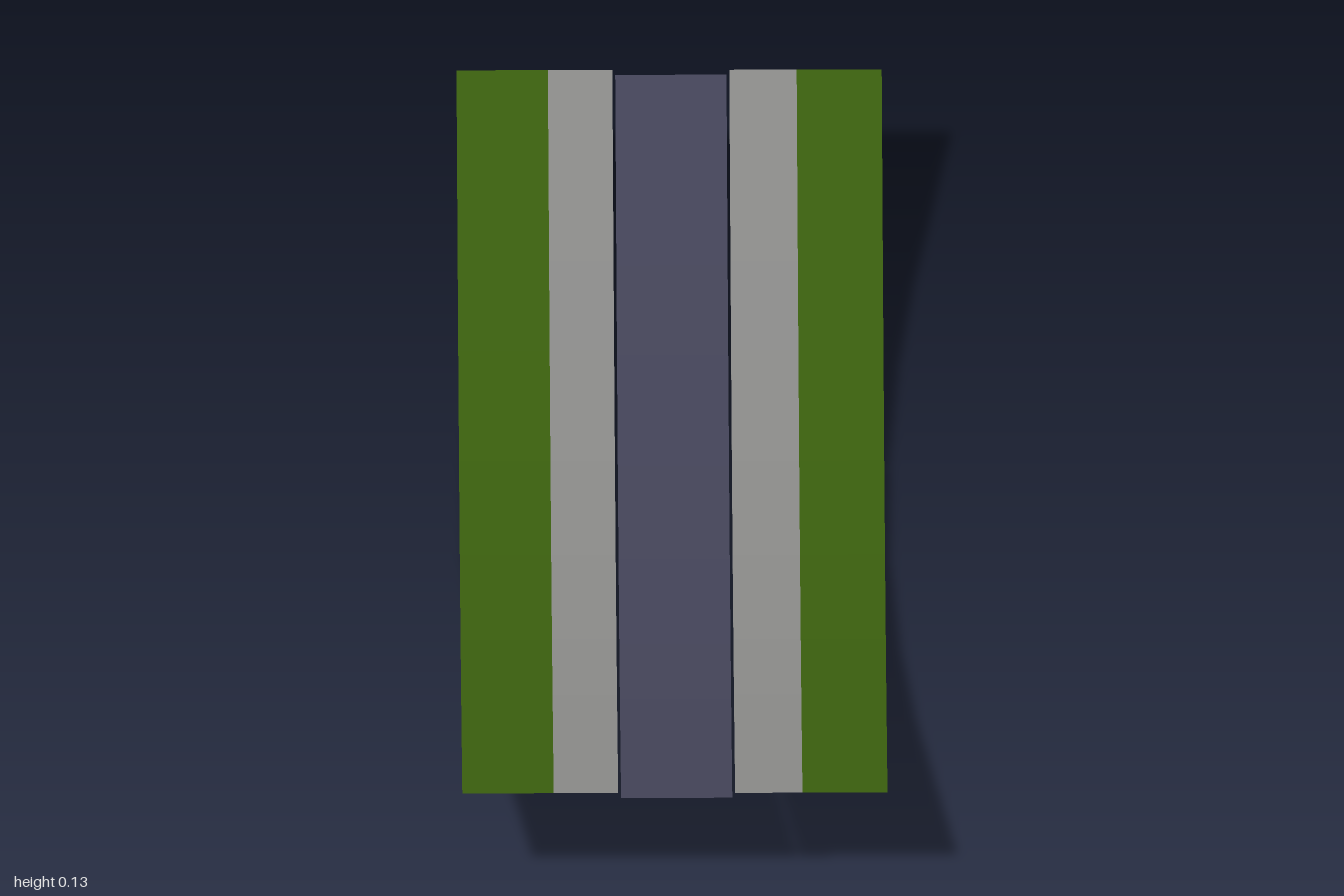
import * as THREE from 'three';

// Sagging lengthwise profile of the road: [z, y], mirrored front to back
const half = [[0.13, 0], [0.4, 0.021], [0.6, 0.049], [1, 0.125]];
const profile = [...half.map(([z, y]) => [-z, y]).reverse(), ...half];

const material = (name, color) => {
  const m = new THREE.MeshStandardMaterial({ color, side: THREE.DoubleSide, flatShading: true });
  m.name = name;
  return m;
};

// Sweeps the cross-section edge (x0, y0)-(x1, y1) along the profile
function strip(name, mat, x0, y0, x1, y1) {
  const positions = [];
  const index = [];
  profile.forEach(([z, y], i) => {
    positions.push(x0, y + y0, z, x1, y + y1, z);
    if (i > 0) {
      const a = 2 * (i - 1);
      index.push(a, a + 2, a + 1, a + 1, a + 2, a + 3);
    }
  });
  const geometry = new THREE.BufferGeometry();
  geometry.setAttribute('position', new THREE.Float32BufferAttribute(positions, 3));
  geometry.setIndex(index);
  geometry.computeVertexNormals();
  const mesh = new THREE.Mesh(geometry, mat);
  mesh.name = name;
  return mesh;
}

export function createModel() {
  const group = new THREE.Group();
  group.name = 'curvedRoad';
  const grass = material('grass green', 0x3b600e);
  const paving = material('paving grey', 0x8c8c8a);
  const asphalt = material('asphalt blue grey', 0x444459);
  const top = 0.009; // height of the pavements above the road

  // Carriageway, with a hairline joint at each kerb
  group.add(strip('road', asphalt, -0.076, 0.001, 0.081, 0.001));

  // Right side
  group.add(strip('rightGrass', grass, -0.3, top, -0.171, top));
  group.add(strip('rightPavement', paving, -0.171, top, -0.08, top));
  group.add(strip('rightKerb', paving, -0.08, top, -0.08, 0));

  // Left side
  group.add(strip('leftKerb', paving, 0.085, 0, 0.085, top));
  group.add(strip('leftPavement', paving, 0.085, top, 0.18, top));
  group.add(strip('leftGrass', grass, 0.18, top, 0.3, top));
  return group;
}
